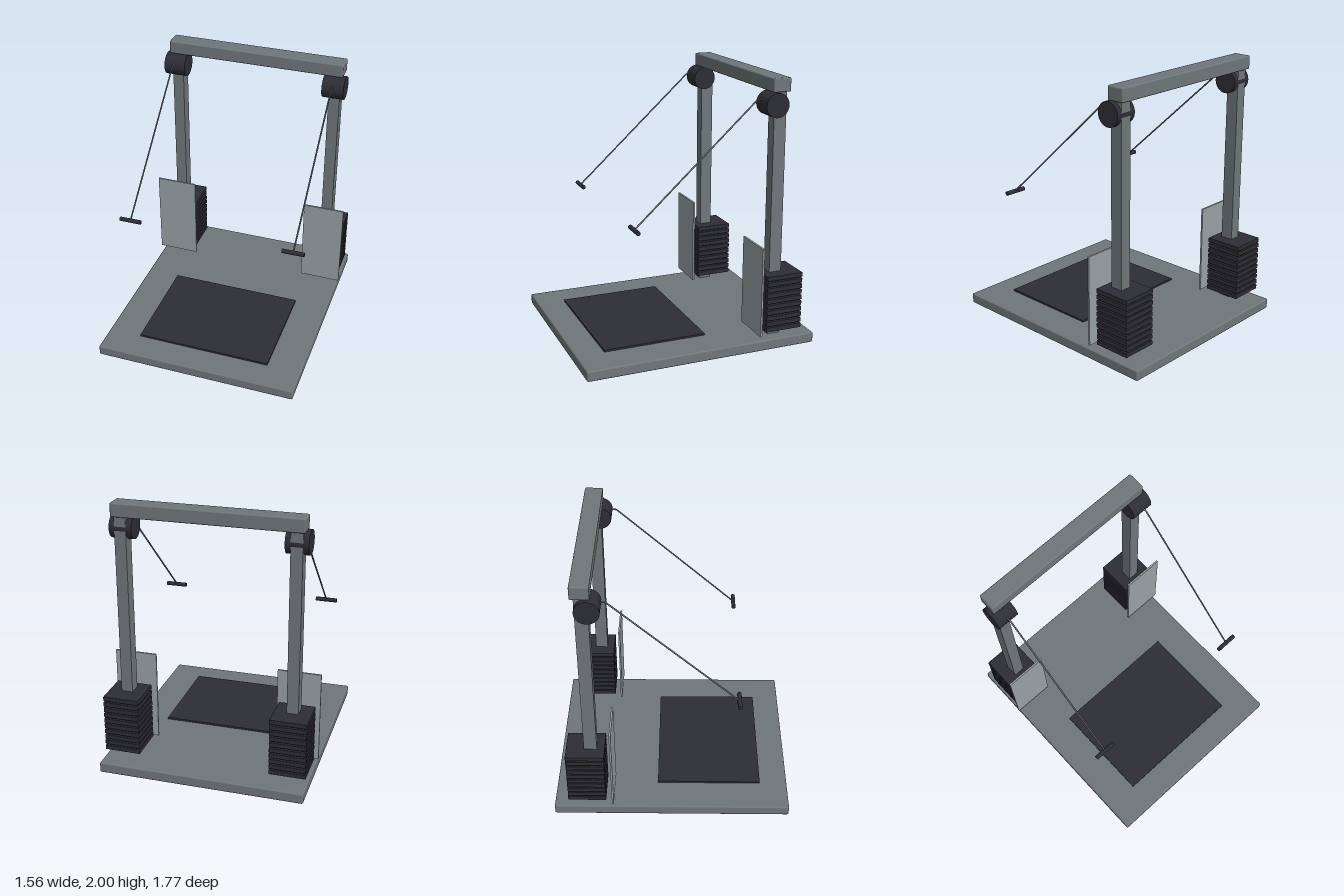
import * as THREE from 'three';
import { RoundedBoxGeometry } from 'three/addons/geometries/RoundedBoxGeometry.js';

const material = (name, color) => {
  const m = new THREE.MeshStandardMaterial({ color });
  m.name = name;
  return m;
};

export function createModel() {
  const frameGrey = material('frame grey', 0x6f777a);
  const black = material('charcoal black', 0x2d2d36);
  const shieldGrey = material('light shield grey', 0x98a1a4);
  const cableGrey = material('cable grey', 0x666b6e);

  const model = new THREE.Group();
  model.name = 'cableMachine';

  const add = (parent, name, geometry, mat, x, y, z) => {
    const mesh = new THREE.Mesh(geometry, mat);
    mesh.name = name;
    mesh.position.set(x, y, z);
    parent.add(mesh);
    return mesh;
  };
  const box = (w, h, d) => new THREE.BoxGeometry(w, h, d);
  const rounded = (w, h, d, r) => new RoundedBoxGeometry(w, h, d, 2, r);

  // Platform, floor mat and top beam
  add(model, 'platform', rounded(1.53, 0.08, 1.77, 0.012), frameGrey, 0, 0.04, 0);
  add(model, 'floorMat', box(1.02, 0.016, 0.786), black, 0, 0.086, 0.283);
  add(model, 'topBeam', rounded(1.364, 0.1, 0.135, 0.01), frameGrey, 0, 1.95, -0.603);

  // Shared geometry for the two towers
  const postGeo = box(0.085, 1.83, 0.095);
  const plateGeo = rounded(0.27, 0.035, 0.285, 0.004);
  const shieldGeo = box(0.318, 0.68, 0.014);
  const pulleyGeo = new THREE.CylinderGeometry(0.088, 0.088, 0.164, 32).rotateZ(Math.PI / 2);
  const handleGeo = new THREE.CylinderGeometry(0.016, 0.016, 0.164, 16).rotateZ(Math.PI / 2);

  // Cable leaves the pulley level, then runs straight down to the handle
  const cablePath = new THREE.CurvePath();
  const start = new THREE.Vector3(0, 1.847, -0.5);
  const bendIn = new THREE.Vector3(0, 1.847, -0.452);
  const bend = new THREE.Vector3(0, 1.847, -0.438);
  const bendOut = new THREE.Vector3(0, 1.837, -0.427);
  const end = new THREE.Vector3(0, 1.01, 0.48);
  cablePath.add(new THREE.LineCurve3(start, bendIn));
  cablePath.add(new THREE.QuadraticBezierCurve3(bendIn, bend, bendOut));
  cablePath.add(new THREE.LineCurve3(bendOut, end));
  const cableGeo = new THREE.TubeGeometry(cablePath, 160, 0.006, 8);

  for (const [side, x] of [['left', 0.622], ['right', -0.622]]) {
    const tower = new THREE.Group();
    tower.name = side + 'Tower';
    tower.position.x = x;
    model.add(tower);

    add(tower, 'post', postGeo, frameGrey, 0, 0.99, -0.598);
    add(tower, 'pulley', pulleyGeo, black, 0, 1.812, -0.559);
    add(tower, 'shield', shieldGeo, shieldGrey, 0, 0.46, -0.442);
    add(tower, 'cable', cableGeo, cableGrey, 0, 0, 0);
    add(tower, 'handle', handleGeo, black, 0, 1.008, 0.48);

    // Stack of ten weight plates with gaps between them
    const stack = new THREE.Group();
    stack.name = 'weightStack';
    tower.add(stack);
    for (let i = 0; i < 10; i++) {
      add(stack, 'weightPlate', plateGeo, black, 0, 0.154 + i * 0.0443, -0.636);
    }
  }
  return model;
}
